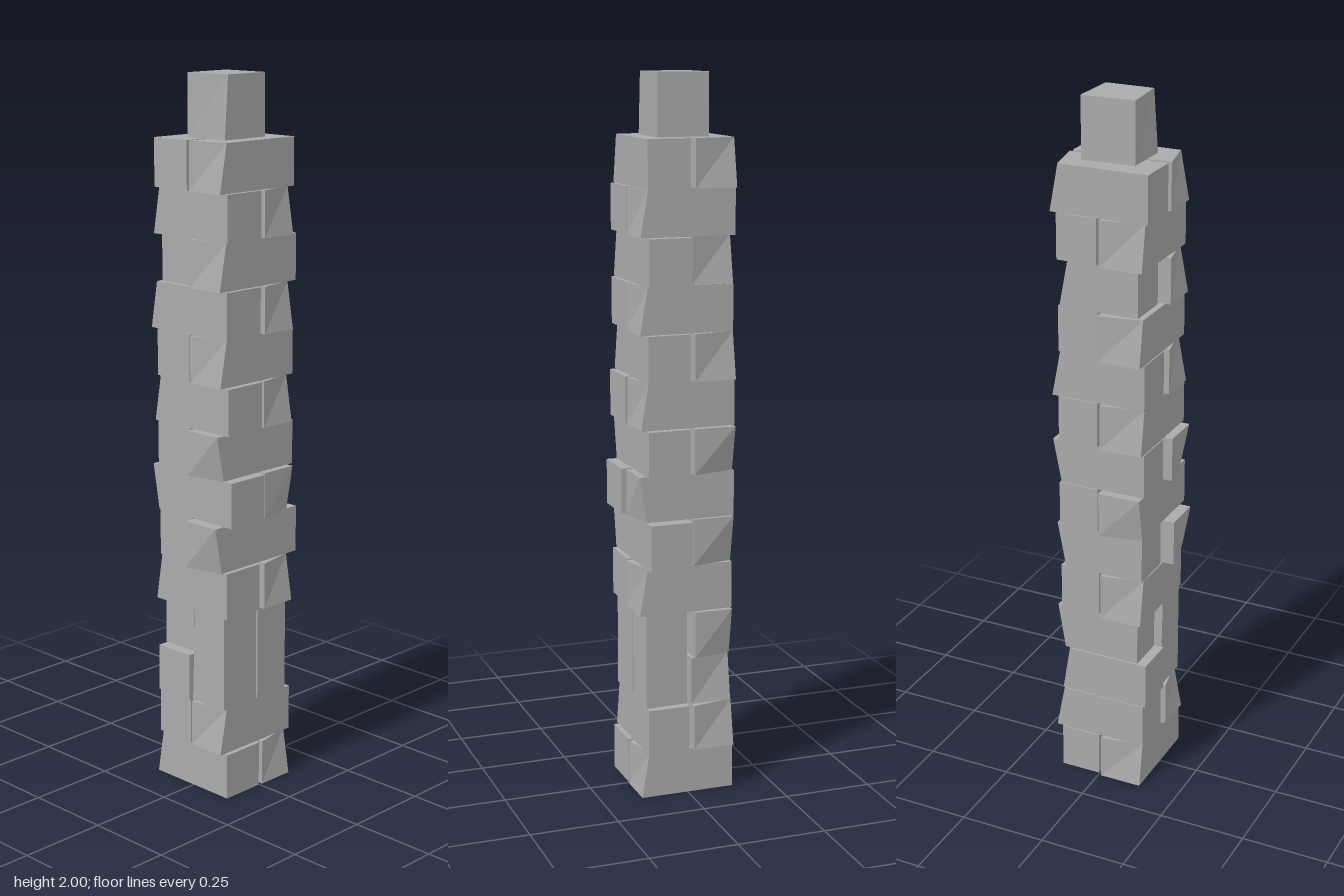
import * as THREE from 'three';

const stone = new THREE.MeshStandardMaterial({ color: 0xaaaaaa });
stone.name = 'grey stone';

// Rough block between two corners. Its end at sign `side` of `axis` is chipped:
// one corner is pulled inwards and the opposite side face leans in slightly.
function block(name, min, max, axis, side, chipY, chip) {
  const size = max.map((v, i) => v - min[i]);
  const g = new THREE.BoxGeometry(...size);
  const p = g.attributes.position;
  const a = axis === 'x' ? 0 : 2;
  const b = 2 - a;
  const across = axis === 'z' ? side : -side; // chipped corner across the block
  for (let i = 0; i < p.count; i++) {
    const v = [p.getX(i), p.getY(i), p.getZ(i)];
    const s = v.map(Math.sign);
    if (s[a] === side) {
      if (s[b] === across && s[1] === chipY) v[a] -= side * chip;
      if (s[b] === -across) v[b] += across * 0.006;
    }
    p.setXYZ(i, ...v);
  }
  const flat = g.toNonIndexed();
  flat.computeVertexNormals();
  const m = new THREE.Mesh(flat, stone);
  m.name = name;
  m.position.set(...min.map((v, i) => (v + max[i]) / 2));
  return m;
}

// Courses: bottom, top, long axis, [lo, hi] of the first (front or right-hand)
// block, [lo, hi] of the second, and which edge (top 1, bottom -1) is chipped.
const courses = [
  [0.0, 0.13, 'x', [-0.145, 0.133], [-0.135, 0.135], 1],
  [0.13, 0.26, 'z', [-0.135, 0.145], [-0.14, 0.135], 1],
  [0.53, 0.663, 'x', [-0.145, 0.133], [-0.13, 0.14], 1],
  [0.663, 0.795, 'z', [-0.158, 0.165], [-0.13, 0.13], -1],
  [0.795, 0.923, 'x', [-0.155, 0.15], [-0.135, 0.14], -1],
  [0.923, 1.05, 'z', [-0.14, 0.157], [-0.14, 0.135], -1],
  [1.05, 1.18, 'x', [-0.145, 0.138], [-0.135, 0.135], 1],
  [1.18, 1.31, 'z', [-0.138, 0.145], [-0.14, 0.135], 1],
  [1.31, 1.44, 'x', [-0.157, 0.132], [-0.13, 0.137], 1],
  [1.44, 1.57, 'z', [-0.148, 0.147], [-0.115, 0.115], 1],
  [1.57, 1.698, 'x', [-0.145, 0.133], [-0.135, 0.135], 1],
  [1.698, 1.83, 'z', [-0.137, 0.146], [-0.14, 0.142], 1],
];

export function createModel() {
  const tower = new THREE.Group();
  tower.name = 'stoneTower';

  // Paired blocks, each course turned a quarter from the last
  courses.forEach(([y0, y1, axis, first, second, chipY], i) => {
    const course = new THREE.Group();
    course.name = `course${i + 1}`;
    if (axis === 'x') {
      course.add(
        block('frontBlock', [first[0], y0, 0.003], [first[1], y1, 0.132], 'x', -1, chipY, 0.022),
        block('backBlock', [second[0], y0, -0.12], [second[1], y1, -0.003], 'x', 1, chipY, 0.022));
    } else {
      course.add(
        block('rightHandBlock', [0, y0, first[0]], [0.12, y1, first[1]], 'z', 1, chipY, 0.025),
        block('leftHandBlock', [-0.131, y0, second[0]], [-0.007, y1, second[1]], 'z', -1, chipY, 0.025));
    }
    tower.add(course);
  });

  // Tall course: two upright blocks beside two lying ones
  const tall = new THREE.Group();
  tall.name = 'tallCourse';
  tall.add(
    block('uprightFront', [-0.002, 0.26, 0.003], [0.12, 0.53, 0.132], 'x', -1, 1, 0.01),
    block('uprightBack', [-0.002, 0.26, -0.116], [0.12, 0.53, -0.003], 'x', -1, 1, 0.01),
    block('lyingLower', [-0.128, 0.26, -0.12], [-0.006, 0.394, 0.142], 'z', -1, 1, 0.022),
    block('lyingUpper', [-0.126, 0.397, -0.134], [-0.012, 0.53, 0.115], 'z', -1, -1, 0.022));
  tower.add(tall);

  // Single cube on top
  tower.add(block('capCube', [-0.075, 1.83, -0.075], [0.07, 2, 0.077], 'z', 1, 1, 0.012));
  return tower;
}
